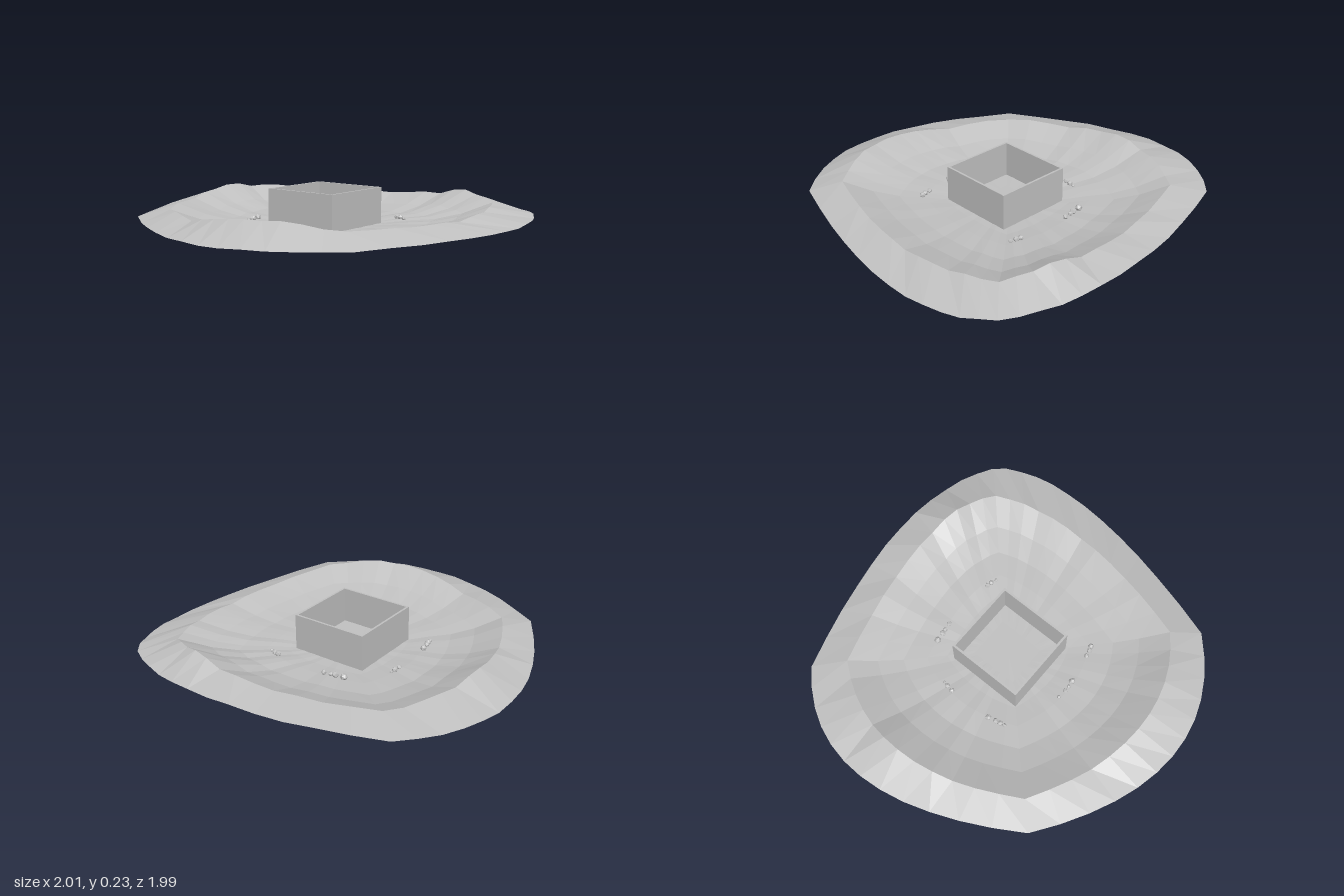
import * as THREE from 'three';

const earth = new THREE.MeshStandardMaterial({ color: 0xc0c0c0, flatShading: true, side: THREE.DoubleSide });
earth.name = 'pale grey';

const SEG = 12; // strips per side
const COUNT = SEG * 4;

// Outlines: four corners plus the control point of the bowed side after each one
const floorLine = [[-0.09, -0.2], [0.03, -0.2], [0.15, -0.2], [0.15, -0.06], [0.15, 0.07], [0.03, 0.07], [-0.09, 0.07], [-0.09, -0.06]];
const rimLine = [[-0.59, -0.67], [0.3, -0.96], [0.69, -0.7], [0.93, -0.25], [0.65, 0.57], [0.15, 0.98], [-0.56, 0.54], [-1.0, -0.18]];
const outerLine = [[-0.73, -0.81], [0.35, -1.17], [0.84, -0.85], [1.19, -0.5], [0.78, 0.7], [0.19, 1.3], [-0.68, 0.66], [-1.31, -0.32]];

// Heights around the crater, four per side: back, right, front, left
const rimHeights = [0.135, 0.125, 0.14, 0.18, 0.14, 0.125, 0.11, 0.12, 0.135, 0.175, 0.165, 0.12, 0.13, 0.14, 0.18, 0.155];
const outerHeights = [0.1, 0.09, 0.1, 0.09, 0.085, 0.07, 0.06, 0.065, 0.075, 0.075, 0.07, 0.075, 0.085, 0.09, 0.1, 0.105];

function outline(line, i) {
  const side = Math.floor(i / SEG) % 4;
  const t = (i % SEG) / SEG;
  const [a, c, b] = [line[side * 2], line[side * 2 + 1], line[(side * 2 + 2) % 8]];
  return [0, 1].map((k) => (1 - t) ** 2 * a[k] + 2 * t * (1 - t) * c[k] + t * t * b[k]);
}

function heightAt(list, i) {
  const s = (i / COUNT) * list.length;
  const k = Math.floor(s);
  const f = s - k;
  const e = f * f * (3 - 2 * f);
  return list[k % list.length] * (1 - e) + list[(k + 1) % list.length] * e;
}

// Small ripple that runs radially
const ripple = (i) => 0.004 * Math.sin(i * 2.4) + 0.003 * Math.sin(i * 4.1 + 1);

// Closed loops of points joined into a surface
function loft(rings) {
  const pos = rings.flat(2);
  const index = [];
  for (let r = 0; r < rings.length - 1; r++) {
    for (let i = 0; i < COUNT; i++) {
      const j = (i + 1) % COUNT;
      const a = r * COUNT + i, b = r * COUNT + j;
      index.push(a, b, a + COUNT, b, b + COUNT, a + COUNT);
    }
  }
  const g = new THREE.BufferGeometry();
  g.setAttribute('position', new THREE.Float32BufferAttribute(pos, 3));
  g.setIndex(index.reverse());
  g.computeVertexNormals();
  return g;
}

function ring(fn) {
  return Array.from({ length: COUNT }, (_, i) => fn(i));
}

export function createModel() {
  const model = new THREE.Group();
  const add = (name, geometry, parent = model) => {
    const mesh = new THREE.Mesh(geometry, earth);
    mesh.name = name;
    parent.add(mesh);
    return mesh;
  };

  // Crater bowl: [share of the way out, share of the way up]
  const steps = [[0, 0], [0.22, 0.03], [0.38, 0.12], [0.57, 0.18], [0.77, 0.45], [1, 1]];
  const bowlRings = steps.map(([out, up]) => ring((i) => {
    const a = outline(floorLine, i), b = outline(rimLine, i);
    const y = 0.03 + (heightAt(rimHeights, i) - 0.03) * up + ripple(i) * out;
    return [a[0] + (b[0] - a[0]) * out, y, a[1] + (b[1] - a[1]) * out];
  }));
  const centre = ring(() => [0.03, 0.03, -0.06]);
  add('craterBowl', loft([centre, ...bowlRings]));

  // Outer slope falling away from the rim
  const edge = ring((i) => {
    const p = outline(outerLine, i);
    return [p[0], heightAt(outerHeights, i) + ripple(i + 1) * 0.5, p[1]];
  });
  add('outerSlope', loft([bowlRings[bowlRings.length - 1], edge]));

  // Open square enclosure in the middle
  const walls = new THREE.Group();
  walls.name = 'enclosure';
  walls.position.set(0.03, 0.115, -0.047);
  model.add(walls);
  const size = 0.435, thick = 0.012;
  for (const s of [-1, 1]) {
    const off = s * (size - thick) / 2;
    add('wallAcross', new THREE.BoxGeometry(size, 0.23, thick), walls).position.z = off;
    add('wallAlong', new THREE.BoxGeometry(thick, 0.23, size - thick * 2), walls).position.x = off;
  }

  // Clusters of stones around the enclosure: x, z, radius
  const stones = [
    [-0.17, -0.4, 0.02], [-0.12, -0.405, 0.018], [-0.095, -0.41, 0.014], [-0.055, -0.415, 0.015],
    [0.26, -0.4, 0.016], [0.285, -0.395, 0.016], [0.315, -0.385, 0.011],
    [-0.33, -0.21, 0.01], [-0.335, -0.185, 0.016], [-0.34, -0.15, 0.015],
    [-0.33, 0.1, 0.018], [-0.32, 0.145, 0.017], [-0.315, 0.17, 0.016], [-0.31, 0.195, 0.012],
    [0, 0.32, 0.011], [0.05, 0.325, 0.014], [0.08, 0.325, 0.012], [0.115, 0.32, 0.019],
    [0.28, 0.29, 0.015], [0.315, 0.285, 0.016], [0.34, 0.275, 0.017],
  ];
  const cluster = new THREE.Group();
  cluster.name = 'stones';
  model.add(cluster);
  stones.forEach(([x, z, r], i) => {
    const stone = add('stone', new THREE.IcosahedronGeometry(r, 0), cluster);
    stone.position.set(x, 0.043 + r * 0.5, z);
    stone.rotation.set(i, i * 1.7, 0);
  });

  return model;
}
